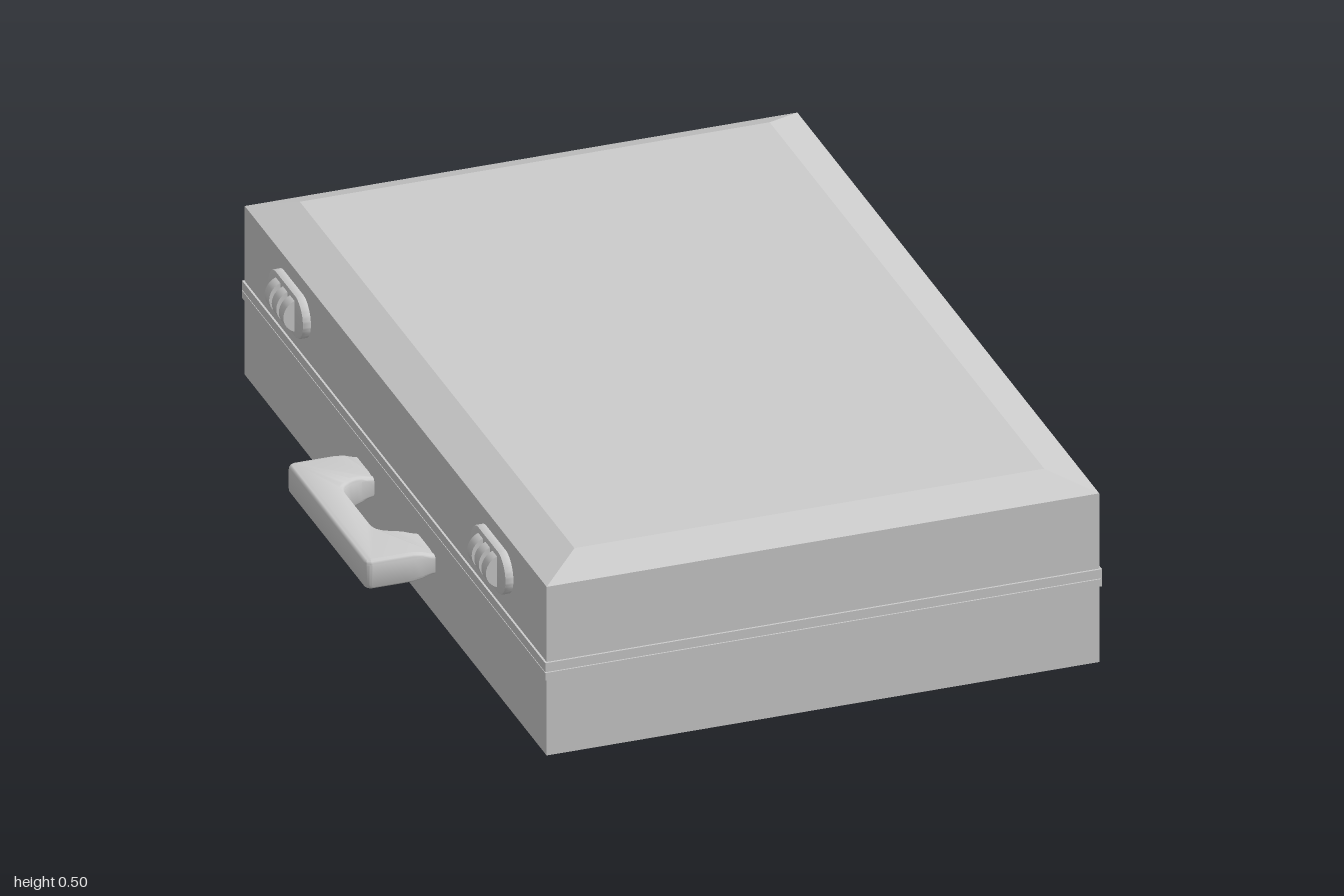
import * as THREE from 'three';
import { ConvexGeometry } from 'three/addons/geometries/ConvexGeometry.js';
import { toCreasedNormals } from 'three/addons/utils/BufferGeometryUtils.js';

const CX = 0.08; // centre of the case along x
const SIDE = -0.587; // face carrying the handle and locks

export function createModel() {
  const group = new THREE.Group();
  const mat = new THREE.MeshStandardMaterial({ color: 0xcccccc });
  const flat = new THREE.MeshStandardMaterial({ color: 0xcccccc, flatShading: true });

  const add = (name, geometry, material = mat, parent = group) => {
    const mesh = new THREE.Mesh(geometry, material);
    mesh.name = name;
    parent.add(mesh);
    return mesh;
  };

  // Solid hull through rectangles given as [y, halfX, halfZ]
  const shell = (levels) => {
    const points = [];
    for (const [y, hx, hz] of levels)
      for (const sx of [-1, 1])
        for (const sz of [-1, 1]) points.push(new THREE.Vector3(CX + sx * hx, y, sz * hz));
    return new ConvexGeometry(points);
  };

  // Two halves of the case with chamfered outer faces
  add('caseBase', shell([[0.003, 0.567, 0.905], [0.04, 0.667, 0.995], [0.255, 0.667, 0.995]]), flat);
  add('caseLid', shell([[0.255, 0.667, 0.995], [0.471, 0.667, 0.995], [0.508, 0.567, 0.905]]), flat);

  // Slightly proud trim around the seam
  for (const [name, y0, y1] of [['baseTrim', 0.235, 0.254], ['lidTrim', 0.256, 0.279]])
    add(name, shell([[y0, 0.672, 1], [y1, 0.672, 1]]), flat);

  // Handle: a U drawn in plan, thinned where its arms meet the case
  const bevel = 0.012, out = -0.755 + bevel, armOut = 0.262 - bevel, armIn = 0.143 + bevel, gripIn = -0.677 - bevel;
  const root = SIDE + 0.012;
  const steps = [0, 0.25, 0.5, 0.75, 1];
  const u = new THREE.Shape();
  u.moveTo(root, -armOut);
  for (const t of steps.slice(1)) u.lineTo(root + t * (-0.66 - root), -armOut);
  u.lineTo(out + 0.008, -armOut);
  u.quadraticCurveTo(out, -armOut, out, -armOut + 0.008);
  u.lineTo(out, armOut - 0.008);
  u.quadraticCurveTo(out, armOut, out + 0.008, armOut);
  for (const t of [...steps].reverse()) u.lineTo(root + t * (-0.66 - root), armOut);
  u.lineTo(root, armIn);
  u.lineTo(-0.605, armIn - 0.004);
  u.bezierCurveTo(-0.66, armIn - 0.014, gripIn, armIn - 0.03, gripIn, armIn - 0.075);
  u.lineTo(gripIn, -armIn + 0.075);
  u.bezierCurveTo(gripIn, -armIn + 0.03, -0.66, -armIn + 0.014, -0.605, -armIn + 0.004);
  u.lineTo(root, -armIn);
  u.closePath();
  const thick = 0.074;
  const handleGeo = new THREE.ExtrudeGeometry(u, {
    depth: thick - 2 * bevel, bevelThickness: bevel, bevelSize: bevel, bevelSegments: 4, curveSegments: 10,
  });
  handleGeo.translate(0, 0, -(thick / 2 - bevel));
  handleGeo.rotateX(Math.PI / 2);
  const pos = handleGeo.attributes.position;
  for (let i = 0; i < pos.count; i++) {
    const t = THREE.MathUtils.clamp((pos.getX(i) + 0.645) / 0.06, 0, 1);
    pos.setY(i, pos.getY(i) * (1 - 0.45 * t * t));
  }
  add('handle', toCreasedNormals(handleGeo, 0.6)).position.y = 0.168;

  // Locks: a rounded plate with three number wheels
  const half = 0.115, r = 0.053, c = half - r;
  const plate = new THREE.Shape();
  plate.absarc(c, 0, r - 0.004, -Math.PI / 2, Math.PI / 2);
  plate.absarc(-c, 0, r - 0.004, Math.PI / 2, Math.PI * 1.5);
  plate.closePath();
  const plateGeo = toCreasedNormals(new THREE.ExtrudeGeometry(plate, {
    depth: 0.016, bevelThickness: 0.004, bevelSize: 0.004, bevelSegments: 2, curveSegments: 16,
  }).rotateY(-Math.PI / 2), 0.6);
  const wheelGeo = new THREE.CylinderGeometry(0.042, 0.042, 0.03, 32).rotateX(Math.PI / 2);
  for (const [name, z] of [['backLock', -0.674], ['frontLock', 0.661]]) {
    const lock = new THREE.Group();
    lock.name = name;
    lock.position.set(SIDE, 0.38, z);
    add('lockPlate', plateGeo, mat, lock);
    for (const dz of [-0.047, 0, 0.047])
      add('numberWheel', wheelGeo, mat, lock).position.set(-0.005, 0, dz);
    group.add(lock);
  }
  return group;
}
